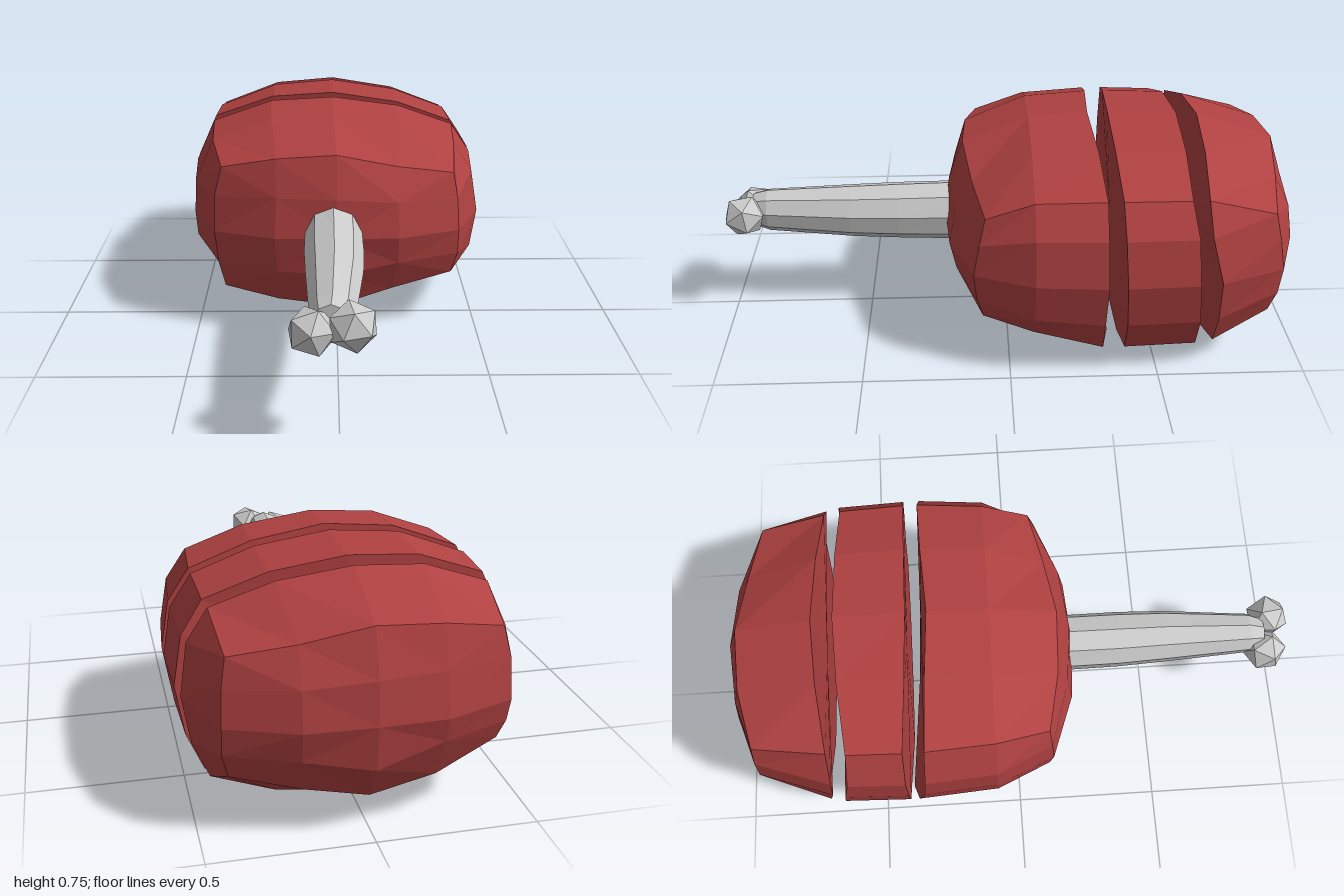
import * as THREE from 'three';

const meat = new THREE.MeshStandardMaterial({ color: 0xb04141, flatShading: true });
const bone = new THREE.MeshStandardMaterial({ color: 0xcccccc, flatShading: true });
const MID = 0.375;

// Widest outline of the joint, counter-clockwise from the left (+x) side
const OUTLINE = [
  [0.537, 0.375], [0.51, 0.535], [0.44, 0.64], [0.235, 0.715],
  [-0.01, 0.752], [-0.24, 0.735], [-0.46, 0.655], [-0.53, 0.5],
  [-0.537, 0.37], [-0.53, 0.28], [-0.46, 0.175], [-0.25, 0.03],
  [-0.05, 0.002], [0.25, 0.015], [0.455, 0.09], [0.51, 0.215],
];
// Rim where the sides turn into the end face
const RIM = [
  [0.43, 0.37, 0.12], [0.425, 0.48, 0.1], [0.41, 0.57, 0.08], [0.21, 0.605, 0.12],
  [0, 0.655, 0.15], [-0.21, 0.64, 0.14], [-0.4, 0.6, 0.1], [-0.425, 0.5, 0.11],
  [-0.43, 0.37, 0.12], [-0.42, 0.25, 0.11], [-0.4, 0.15, 0.09], [-0.21, 0.11, 0.12],
  [0, 0.095, 0.15], [0.2, 0.155, 0.13], [0.41, 0.2, 0.09], [0.43, 0.28, 0.11],
];
// The rear rim is pulled up at its lower right
const REAR_RIM = [
  ...RIM.slice(0, 9),
  [-0.425, 0.295, 0.105], [-0.405, 0.23, 0.085], [-0.21, 0.145, 0.11], [0, 0.11, 0.13],
  ...RIM.slice(13),
];
// Depth of each hand-cut edge, point by point round the outline
const CUTS = {
  frontPieceBack: [-0.315, -0.31, -0.31, -0.3, -0.285, -0.3, -0.315, -0.325,
    -0.335, -0.36, -0.385, -0.375, -0.365, -0.355, -0.315, -0.312],
  sliceFront: [-0.375, -0.365, -0.36, -0.355, -0.355, -0.365, -0.385, -0.39,
    -0.39, -0.39, -0.395, -0.39, -0.39, -0.39, -0.388, -0.385],
  sliceBack: [-0.612, -0.6, -0.582, -0.59, -0.595, -0.585, -0.57, -0.585,
    -0.61, -0.62, -0.625, -0.625, -0.62, -0.625, -0.63, -0.628],
  rearPieceFront: [-0.685, -0.645, -0.638, -0.655, -0.668, -0.655, -0.635, -0.64,
    -0.652, -0.67, -0.69, -0.69, -0.69, -0.69, -0.69, -0.69],
};

// Skin a list of rings running front to back; a ring of one point closes an end
function loft(name, rings, material) {
  const n = Math.max(...rings.map((r) => r.length));
  const pos = [];
  for (let i = 0; i < rings.length - 1; i++) {
    const p = rings[i], q = rings[i + 1];
    for (let j = 0; j < n; j++) {
      const a = p[j % p.length], b = p[(j + 1) % p.length];
      const d = q[j % q.length], c = q[(j + 1) % q.length];
      if (c !== d) pos.push(...a, ...d, ...c);
      if (a !== b) pos.push(...a, ...c, ...b);
    }
  }
  const geo = new THREE.BufferGeometry();
  geo.setAttribute('position', new THREE.Float32BufferAttribute(pos, 3));
  geo.computeVertexNormals();
  const mesh = new THREE.Mesh(geo, material);
  mesh.name = name;
  return mesh;
}

// Outline scaled about its middle
const section = (depths, scale) => OUTLINE.map(([x, y], j) => (
  [x * scale, MID + (y - MID) * scale, depths[j]]));
// Single point in the middle of a ring, to cap a cut
const centre = (ring) => [[0, 1, 2].map((k) => ring.reduce((s, p) => s + p[k], 0) / ring.length)];

// Domed end face: tip, then a square of eight points (corners shared), then the rim
function dome(rim) {
  const corner = (j) => [rim[j][0] * 0.52, MID + (rim[j][1] - MID) * 0.6, 0.178];
  const right = [0.215, 0.37, 0.2], top = [0, 0.51, 0.2];
  const left = [-0.215, 0.37, 0.2], bottom = [0, 0.23, 0.2];
  const ur = corner(2), ul = corner(6), ll = corner(10), lr = corner(14);
  const square = [right, ur, ur, ur, top, ul, ul, ul, left, ll, ll, ll, bottom, lr, lr, lr];
  return [[[0, MID, 0.215]], square, rim];
}

// Turn a ring to the back while keeping shared points shared
function toBack(ring) {
  const moved = new Map(ring.map((p) => [p, [p[0], p[1], -0.785 - p[2]]]));
  return ring.map((p) => moved.get(p));
}

export function createModel() {
  const group = new THREE.Group();
  group.name = 'slicedHam';

  // Front piece with domed end; its shoulder is trimmed at the lower left
  const shoulder = section(OUTLINE.map(() => -0.08), 0.965);
  shoulder.splice(13, 3, [0.245, 0.085, -0.08], [0.435, 0.145, -0.08], [0.497, 0.235, -0.08]);
  const cut1 = section(CUTS.frontPieceBack, 1);
  group.add(loft('frontPiece', [...dome(RIM), shoulder, cut1, centre(cut1)], meat));

  // Middle slice
  const cut2 = section(CUTS.sliceFront, 1);
  const cut3 = section(CUTS.sliceBack, 0.985);
  group.add(loft('middleSlice', [centre(cut2), cut2, cut3, centre(cut3)], meat));

  // Rear piece with domed end
  const cut4 = section(CUTS.rearPieceFront, 0.965);
  const backDome = dome(REAR_RIM).reverse().map(toBack);
  group.add(loft('rearPiece', [centre(cut4), cut4, ...backDome], meat));

  // Bone shaft: z, centre x, centre y, half width, half height
  const shaft = [
    [0.9, -0.025, 0.385, 0.055, 0.062], [0.85, -0.02, 0.385, 0.07, 0.077],
    [0.55, -0.012, 0.38, 0.093, 0.096], [0.38, -0.012, 0.378, 0.1, 0.103],
    [0.12, -0.012, 0.375, 0.1, 0.111],
  ].map(([z, cx, cy, w, h]) => Array.from({ length: 9 }, (_, i) => {
    const t = Math.PI / 2 + (i / 9) * Math.PI * 2;
    return [cx + Math.cos(t) * w, cy + Math.sin(t) * h, z];
  }));
  group.add(loft('boneShaft', [centre(shaft[0]), ...shaft, centre(shaft[4])], bone));

  // Two faceted knuckles at the end of the bone
  [['rightKnuckle', -0.08, 0.368, 0.908, 0.3], ['leftKnuckle', 0.037, 0.392, 0.928, -0.4]]
    .forEach(([name, x, y, z, turn]) => {
      const knob = new THREE.Mesh(new THREE.IcosahedronGeometry(0.077, 0), bone);
      knob.name = name;
      knob.position.set(x, y, z);
      knob.rotation.set(turn, turn * 0.5, turn);
      group.add(knob);
    });

  return group;
}
